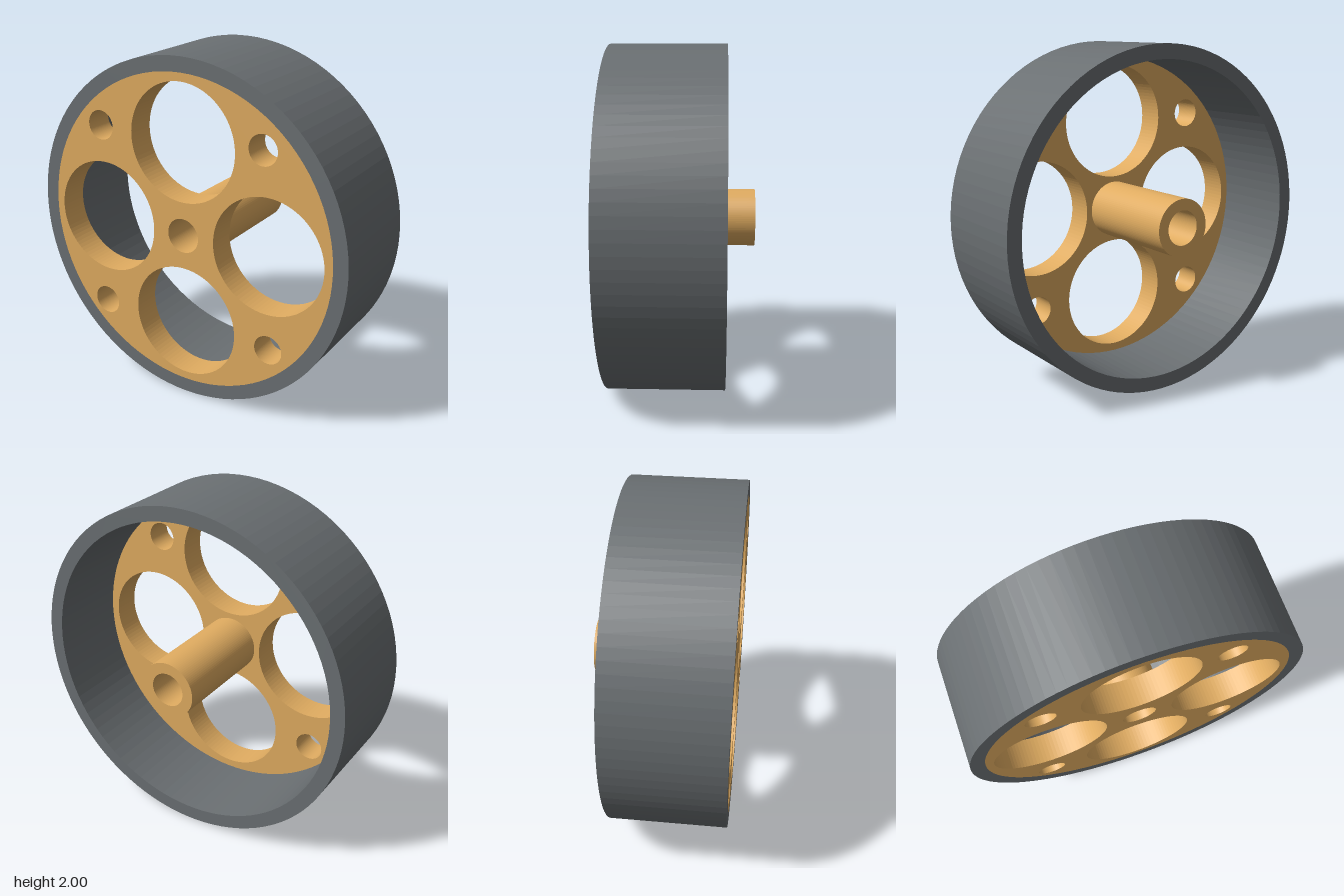
import * as THREE from 'three';

const FRONT = 0.415, TYRE_BACK = -0.25, HUB_BACK = -0.415;
const DISC_BACK = 0.248;
const TYRE_R = 1, DISC_R = 0.915, HUB_R = 0.165, BORE_R = 0.1;

// Round plate between two z positions, pierced by holes given as [x, y, radius]
function piercedPlate(name, radius, holes, back, front, material) {
  const shape = new THREE.Shape().absarc(0, 0, radius, 0, Math.PI * 2, false);
  for (const [x, y, r] of holes) {
    shape.holes.push(new THREE.Path().absarc(x, y, r, 0, Math.PI * 2, true));
  }
  const geometry = new THREE.ExtrudeGeometry(shape, {
    depth: front - back, bevelEnabled: false, curveSegments: 48,
  });
  geometry.translate(0, 1, back);
  const mesh = new THREE.Mesh(geometry, material);
  mesh.name = name;
  return mesh;
}

export function createModel() {
  const group = new THREE.Group();
  group.name = 'wheel';
  const rubber = new THREE.MeshStandardMaterial({ color: 0x6a6f72, flatShading: true });
  const wood = new THREE.MeshStandardMaterial({ color: 0xdfab60, flatShading: true });

  // Four large lightening holes around the bore
  const holes = [[0, 0, BORE_R]];
  for (let i = 0; i < 4; i++) {
    const a = i * Math.PI / 2;
    holes.push([0.533 * Math.cos(a), 0.533 * Math.sin(a), 0.335]);
  }
  // Small, slightly uneven holes between them
  for (const [x, y] of [[-0.55, 0.55], [0.5, 0.583], [-0.567, -0.55], [0.55, -0.55]]) {
    holes.push([x, y, 0.085]);
  }

  group.add(
    piercedPlate('tyre', TYRE_R, [[0, 0, DISC_R]], TYRE_BACK, FRONT, rubber),
    piercedPlate('wheelDisc', DISC_R, holes, DISC_BACK, FRONT, wood),
    piercedPlate('hubTube', HUB_R, [[0, 0, BORE_R]], HUB_BACK, DISC_BACK, wood),
  );
  return group;
}
